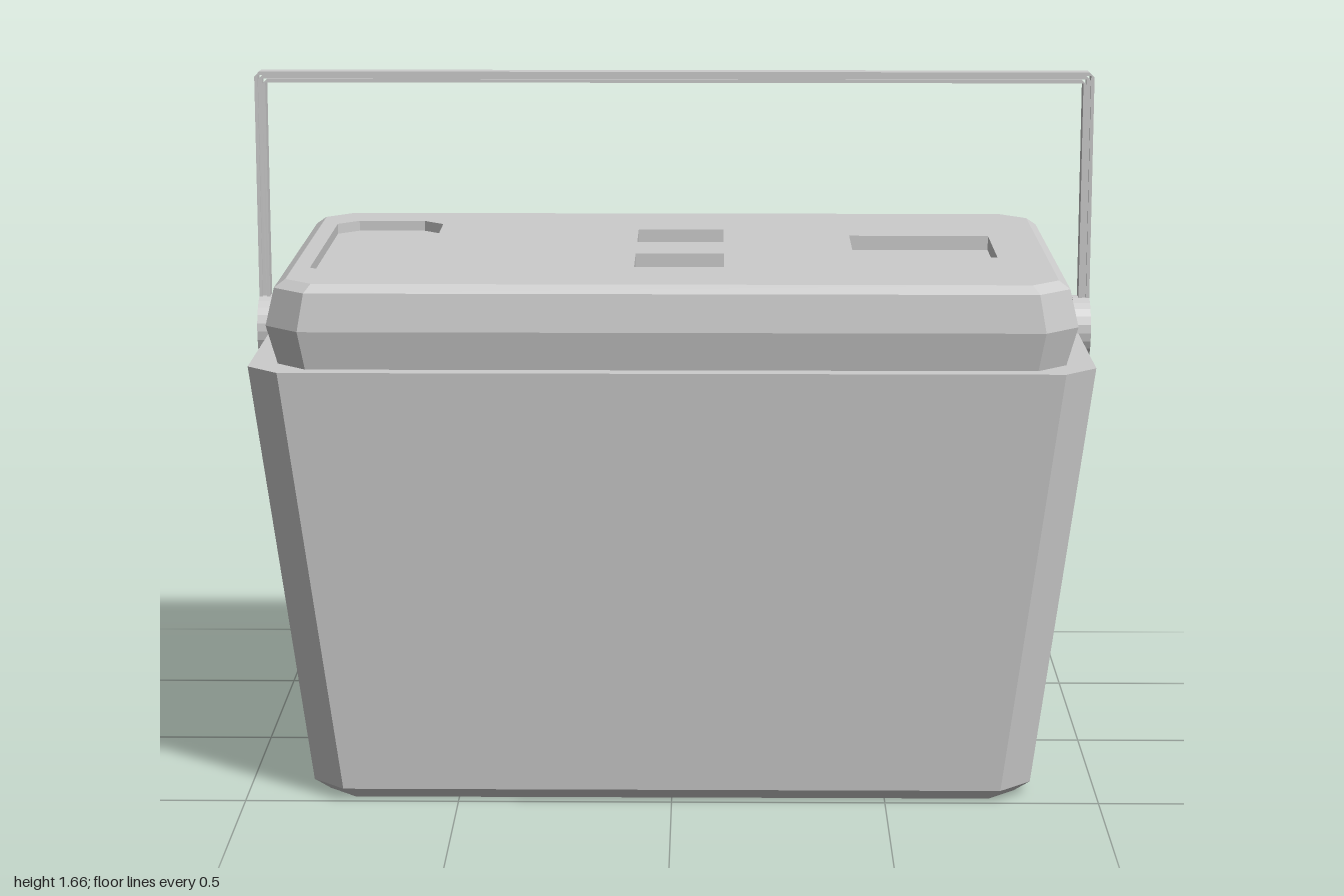
import * as THREE from 'three';

const material = new THREE.MeshStandardMaterial({ color: 0xcccccc, flatShading: true });

// Counter-clockwise rectangle with cut corners; shape y stands for -z
function outline(hx, hz, cut, cx = 0, cz = 0) {
  const corners = cut > 0
    ? [[hx - cut, -hz], [hx, cut - hz], [hx, hz - cut], [hx - cut, hz],
       [cut - hx, hz], [-hx, hz - cut], [-hx, cut - hz], [cut - hx, -hz]]
    : [[hx, -hz], [hx, hz], [-hx, hz], [-hx, -hz]];
  return corners.map(([x, y]) => new THREE.Vector2(cx + x, y - cz));
}

function add(parent, name, geometry) {
  const mesh = new THREE.Mesh(geometry, material);
  mesh.name = name;
  parent.add(mesh);
  return mesh;
}

// Walls between outlines: rising levels face outwards, falling ones inwards
function walls(levels) {
  const pos = [];
  for (let k = 0; k + 1 < levels.length; k++) {
    const [a, b] = [levels[k], levels[k + 1]];
    const n = a.ring.length;
    for (let i = 0; i < n; i++) {
      const j = (i + 1) % n;
      const p = (l, m) => [l.ring[m].x, l.y, -l.ring[m].y];
      pos.push(...p(a, i), ...p(a, j), ...p(b, j), ...p(a, i), ...p(b, j), ...p(b, i));
    }
  }
  const g = new THREE.BufferGeometry();
  g.setAttribute('position', new THREE.Float32BufferAttribute(pos, 3));
  g.computeVertexNormals();
  return g;
}

function cap(ring, y, holes = [], up = true) {
  const shape = new THREE.Shape(ring);
  holes.forEach(h => shape.holes.push(new THREE.Path(h)));
  return new THREE.ShapeGeometry(shape).rotateX(up ? -Math.PI / 2 : Math.PI / 2).translate(0, y, 0);
}

const level = (y, hx, hz, cut) => ({ y, ring: outline(hx, hz, cut) });

// One strip of the carrying handle, with its outer edge set in by a and inner edge by b
function handleStrip(a, b, width) {
  const base = 1.04, top = 1.66, c = 0.012;
  const s = new THREE.Shape();
  const x = 1 - a, t = top - a, xi = 1 - b, ti = top - b;
  [[x, base], [x, t - c], [x - c, t], [c - x, t], [-x, t - c], [-x, base],
   [-xi, base], [-xi, ti], [xi, ti], [xi, base]]
    .forEach(([px, py], i) => (i ? s.lineTo(px, py) : s.moveTo(px, py)));
  return new THREE.ExtrudeGeometry(s, { depth: width, bevelEnabled: false }).translate(0, 0, -width / 2);
}

export function createModel() {
  const model = new THREE.Group();
  model.name = 'coolBox';

  // Tapered body
  const body = new THREE.Group();
  body.name = 'body';
  model.add(body);
  const bodyLevels = [level(0, 0.81, 0.465, 0.065), level(0.03, 0.845, 0.5, 0.075), level(1.04, 0.97, 0.575, 0.075)];
  add(body, 'bodyWalls', walls(bodyLevels));
  add(body, 'bodyBase', cap(bodyLevels[0].ring, 0, [], false));
  add(body, 'bodyRim', cap(bodyLevels[2].ring, 1.04));

  // Lid with a bulging edge
  const lid = new THREE.Group();
  lid.name = 'lid';
  model.add(lid);
  const top = 1.235;
  const lidLevels = [level(1.04, 0.905, 0.535, 0.07), level(1.13, 0.93, 0.553, 0.08),
    level(1.217, 0.91, 0.541, 0.075), level(top, 0.885, 0.517, 0.065)];
  add(lid, 'lidWalls', walls(lidLevels));

  // Recesses in the lid: half sizes, corner cut, centre, depth
  const recesses = [
    ['trayRecess', 0.132, 0.37, 0.05, -0.713, -0.02, 0.025],
    ['backCupRecess', 0.105, 0.095, 0, 0.015, -0.167, 0.035],
    ['frontCupRecess', 0.105, 0.095, 0, 0.015, 0.188, 0.035],
    ['sideRecess', 0.17, 0.157, 0, 0.598, -0.015, 0.035],
  ];
  const holes = recesses.map(([name, hx, hz, cut, cx, cz, depth]) => {
    const ring = outline(hx, hz, cut, cx, cz);
    add(lid, name + 'Walls', walls([{ y: top, ring }, { y: top - depth, ring }]));
    add(lid, name + 'Floor', cap(ring, top - depth));
    return ring;
  });
  add(lid, 'lidTop', cap(lidLevels[3].ring, top, holes));

  // Carrying handle: two wide strips around a narrower core make the grooves
  const handle = new THREE.Group();
  handle.name = 'handle';
  model.add(handle);
  add(handle, 'handleOuterStrip', handleStrip(0, 0.008, 0.04));
  add(handle, 'handleCore', handleStrip(0.008, 0.018, 0.026));
  add(handle, 'handleInnerStrip', handleStrip(0.018, 0.026, 0.04));

  // Round pivots on both sides
  for (const side of [1, -1]) {
    const pivot = add(handle, side > 0 ? 'leftPivot' : 'rightPivot',
      new THREE.CylinderGeometry(0.078, 0.078, 0.04, 24).rotateZ(Math.PI / 2));
    pivot.position.set(side * 0.98, 1.04, 0);
  }
  return model;
}
